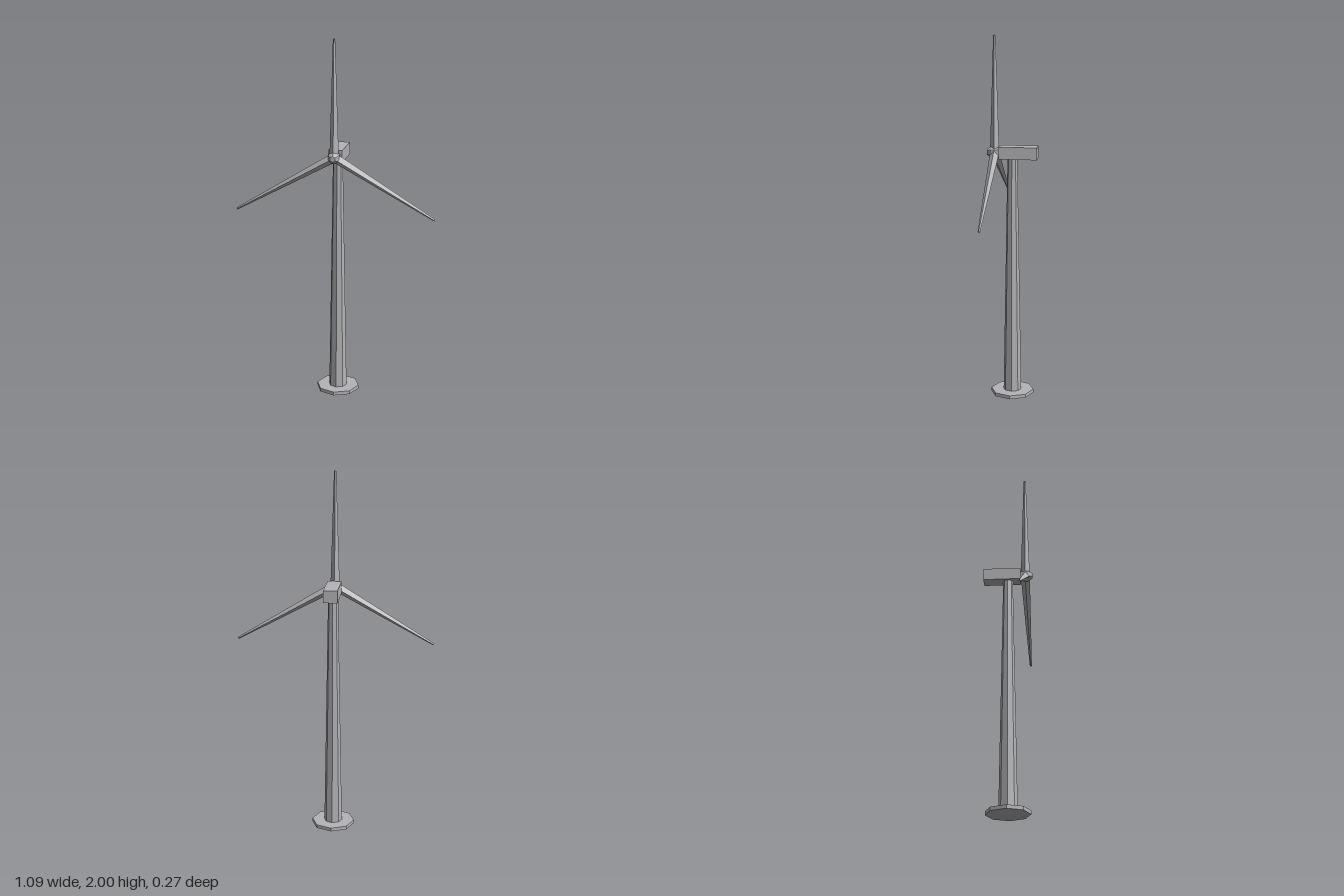
import * as THREE from 'three';

export function createModel() {
  const model = new THREE.Group();
  model.name = 'windTurbine';
  const grey = new THREE.MeshStandardMaterial({ color: 0xb4b4b8, flatShading: true });
  grey.name = 'light grey';

  const add = (parent, name, geometry, x, y, z) => {
    const mesh = new THREE.Mesh(geometry, grey);
    mesh.name = name;
    mesh.position.set(x, y, z);
    parent.add(mesh);
    return mesh;
  };

  // Octagonal foundation and tapering tower
  add(model, 'foundation', new THREE.CylinderGeometry(0.119, 0.119, 0.02, 8), 0, 0.01, -0.002);
  add(model, 'tower', new THREE.CylinderGeometry(0.027, 0.05, 1.33, 8), 0, 0.685, -0.002);

  // Generator housing on top of the tower
  add(model, 'nacelle', new THREE.BoxGeometry(0.076, 0.067, 0.208), 0, 1.373, -0.034);

  // Rotor: faceted hub with three blades
  const rotor = new THREE.Group();
  rotor.name = 'rotor';
  rotor.position.set(0, 1.373, 0.095);
  model.add(rotor);

  const hubProfile = [[0, -0.03], [0.028, -0.03], [0.034, 0.0], [0.033, 0.017], [0.016, 0.041], [0, 0.041]]
    .map(([r, h]) => new THREE.Vector2(r, h));
  const hub = add(rotor, 'hub', new THREE.LatheGeometry(hubProfile, 6), 0, 0, 0);
  hub.rotation.x = Math.PI / 2;

  // Diamond-section blades, the first one pointing straight up
  const length = 0.617;
  const bladeGeometry = new THREE.CylinderGeometry(0.006, 0.025, length, 4);
  bladeGeometry.translate(0, length / 2 + 0.01, 0);
  for (let i = 0; i < 3; i++) {
    const blade = add(rotor, 'blade' + (i + 1), bladeGeometry, 0, 0, 0);
    blade.rotation.z = (i * Math.PI * 2) / 3;
  }
  return model;
}
